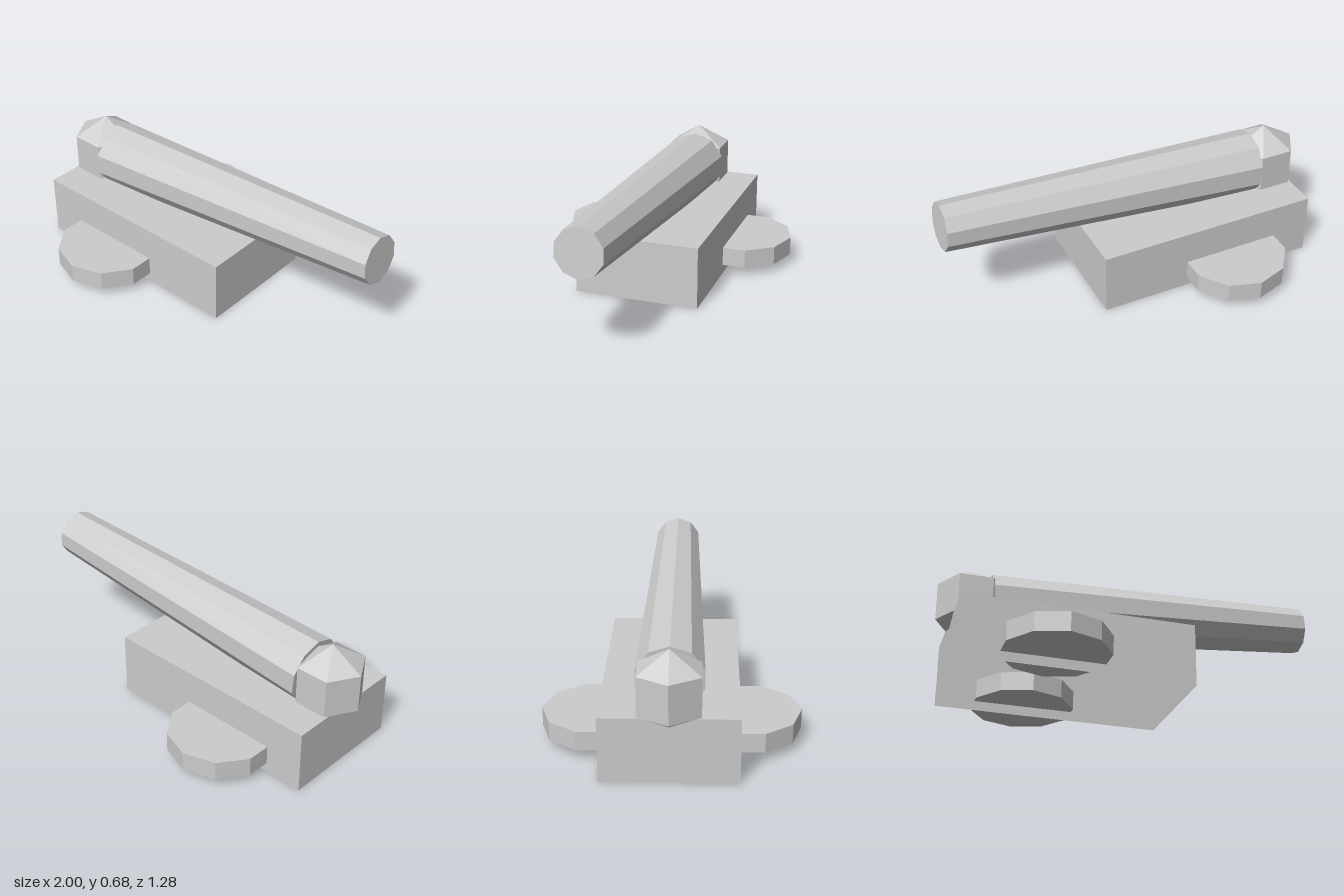
import * as THREE from 'three';

export function createModel() {
  const model = new THREE.Group();
  model.name = 'cannon';

  const grey = new THREE.MeshStandardMaterial({ color: 0xcccccc, flatShading: true, side: THREE.DoubleSide });
  grey.name = 'plainGrey';

  const add = (name, geometry, x, y, z) => {
    const mesh = new THREE.Mesh(geometry, grey);
    mesh.name = name;
    mesh.position.set(x, y, z);
    model.add(mesh);
    return mesh;
  };

  // Carriage: a box shell, open underneath
  const shell = new THREE.BoxGeometry(1.19, 0.33, 0.66);
  const index = Array.from(shell.index.array);
  index.splice(18, 6); // drop the bottom face
  shell.setIndex(index);
  shell.clearGroups();
  add('carriage', shell, -0.333, 0.165, 0);

  // Flat ten-sided wheels, half sunk into the carriage sides
  for (const side of [1, -1]) {
    add(side > 0 ? 'frontWheel' : 'backWheel',
      new THREE.CylinderGeometry(0.274, 0.274, 0.1, 10), -0.465, 0.101, side * 0.367);
  }

  // Tapered barrel, raised slightly towards the muzzle
  const rear = new THREE.Vector2(-0.731, 0.433);
  const muzzle = new THREE.Vector2(0.99, 0.553);
  const axis = muzzle.clone().sub(rear);
  const barrel = add('barrel',
    new THREE.CylinderGeometry(0.125, 0.172, axis.length(), 10, 1, false, Math.PI / 2),
    (rear.x + muzzle.x) / 2, (rear.y + muzzle.y) / 2, 0);
  barrel.rotation.z = axis.angle() - Math.PI / 2;

  // Six-sided breech with pointed ends
  const profile = [[0, -0.2], [0.173, -0.1], [0.173, 0.1], [0, 0.2]]
    .map(([r, y]) => new THREE.Vector2(r, y));
  add('breech', new THREE.LatheGeometry(profile, 6, Math.PI / 2), -0.828, 0.43, 0);

  return model;
}
